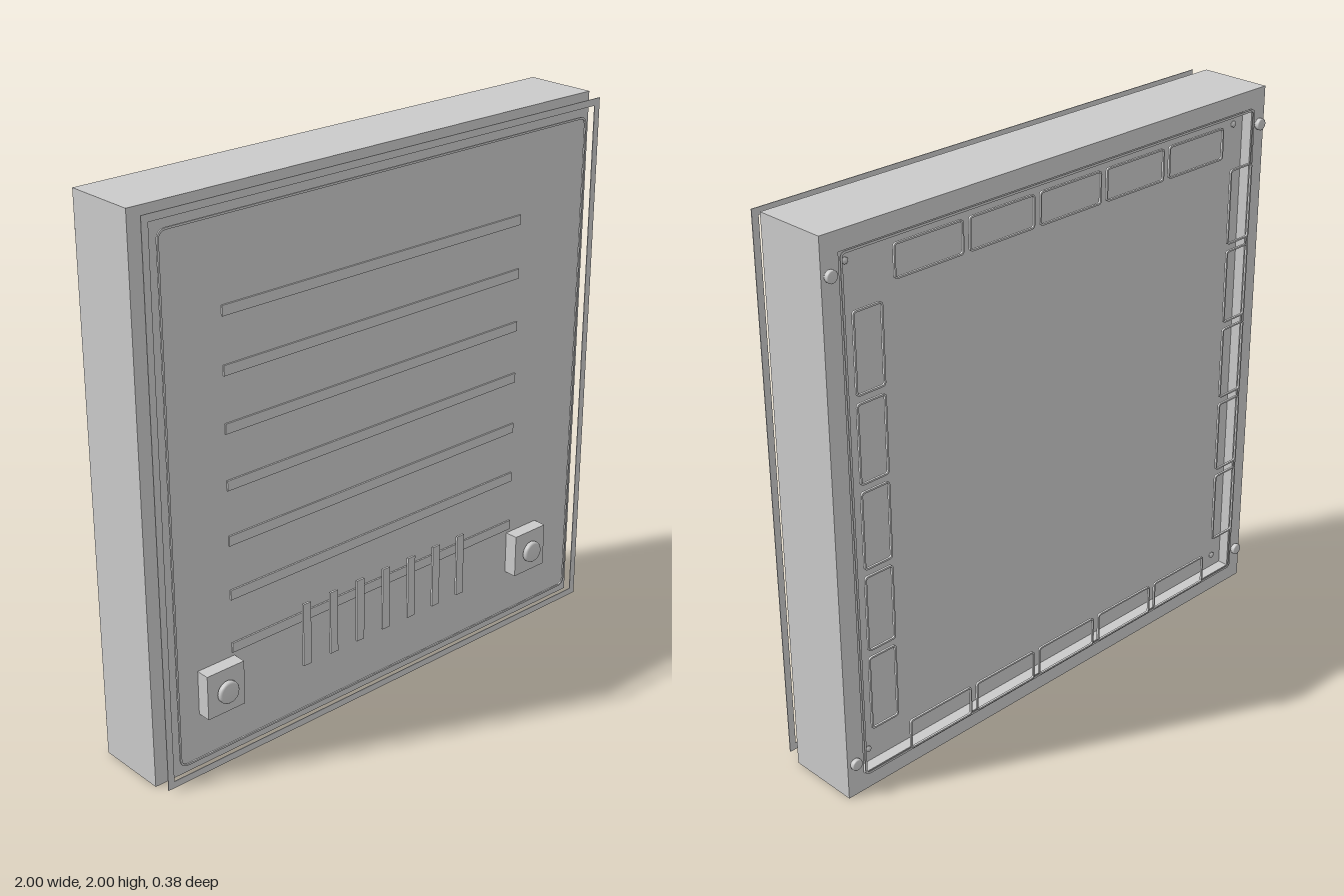
import * as THREE from 'three';

const grey = new THREE.MeshStandardMaterial({ color: 0xcacaca });
grey.name = 'plain grey';

// Rounded rectangle outline centred on the origin
function outline(path, w, h, r) {
  const x = w / 2, y = h / 2;
  path.moveTo(-x + r, -y);
  path.lineTo(x - r, -y);
  if (r) path.quadraticCurveTo(x, -y, x, -y + r);
  path.lineTo(x, y - r);
  if (r) path.quadraticCurveTo(x, y, x - r, y);
  path.lineTo(-x + r, y);
  if (r) path.quadraticCurveTo(-x, y, -x, y - r);
  path.lineTo(-x, -y + r);
  if (r) path.quadraticCurveTo(-x, -y, -x + r, -y);
  return path;
}

export function createModel() {
  const model = new THREE.Group();
  model.name = 'panelCabinet';

  function add(name, geometry, x, y, z) {
    const mesh = new THREE.Mesh(geometry, grey);
    mesh.name = name;
    mesh.position.set(x, y, z);
    model.add(mesh);
    return mesh;
  }
  const box = (name, w, h, d, x, y, z) =>
    add(name, new THREE.BoxGeometry(w, h, d), x, y, z);

  // Flat frame with an opening, centred in depth on z
  function frame(name, w, h, r, band, depth, x, y, z) {
    const shape = outline(new THREE.Shape(), w, h, r);
    shape.holes.push(outline(new THREE.Path(), w - 2 * band, h - 2 * band, Math.max(0, r - band)));
    const geometry = new THREE.ExtrudeGeometry(shape, { depth, bevelEnabled: false, curveSegments: 6 });
    geometry.translate(0, 0, -depth / 2);
    return add(name, geometry, x, y, z);
  }

  // Turned part standing along z; profile points are [radius, height]
  function turned(name, profile, x, y, z, dir) {
    const geometry = new THREE.LatheGeometry(profile.map(p => new THREE.Vector2(...p)), 24);
    geometry.rotateX(dir * Math.PI / 2);
    return add(name, geometry, x, y, z);
  }

  // Cabinet shell around a core that leaves the back recessed
  frame('cabinetShell', 2, 2, 0, 0.068, 0.27, 0, 1, -0.025);
  box('cabinetCore', 1.864, 1.864, 0.23, 0, 1, -0.005);

  // Front trim: square outer frame and rounded inner bead
  frame('frontFrame', 1.98, 1.98, 0, 0.025, 0.003, 0, 1, 0.167);
  frame('frontBead', 1.866, 1.866, 0.035, 0.007, 0.006, 0, 1, 0.16);

  // Shallow horizontal ribs on the front face
  for (let i = 0; i < 7; i++) {
    box('horizontalRib', 1.33, 0.036, 0.007, 0, 0.4 + i * 0.2, 0.1125);
  }

  // Vertical grille slats
  for (let i = 0; i < 7; i++) {
    box('grilleSlat', 0.034, 0.24, 0.008, -0.395 + i * 0.1217, 0.376, 0.179);
  }

  // Control blocks with round knobs
  const knob = [[0, 0], [0.034, 0], [0.041, 0.006], [0.041, 0.018], [0.035, 0.025], [0, 0.025]];
  for (const s of [-1, 1]) {
    box('controlBlock', 0.155, 0.165, 0.055, s * 0.732, 0.284, 0.133);
    turned('knob', knob, s * 0.732, 0.284, 0.16, 1);
  }

  // Back trim bead
  frame('backBead', 1.87, 1.87, 0.02, 0.008, 0.003, 0, 1, -0.171);

  // Corner screws on the rim and small pins on the recessed panel
  const screw = [[0, 0], [0.019, 0], [0.021, 0.006], [0.021, 0.016], [0.018, 0.019], [0, 0.019]];
  const pin = [[0, 0], [0.011, 0], [0.011, 0.006], [0, 0.008]];
  for (const s of [-1, 1]) {
    for (const t of [-1, 1]) {
      turned('backScrew', screw, s * 0.97, 1 + t * 0.87, -0.16, -1);
      turned('backPin', pin, s * 0.88, 1 + t * 0.88, -0.12, -1);
    }
  }

  // Rounded loops around the border of the back
  for (let i = -2; i <= 2; i++) {
    for (const s of [-1, 1]) {
      frame('backRowLoop', 0.28, 0.116, 0.014, 0.006, 0.008, i * 0.304, 1 + s * 0.857, -0.187);
      frame('backColumnLoop', 0.116, 0.28, 0.014, 0.006, 0.008, s * 0.855, 1 + i * 0.304, -0.187);
    }
  }

  return model;
}
